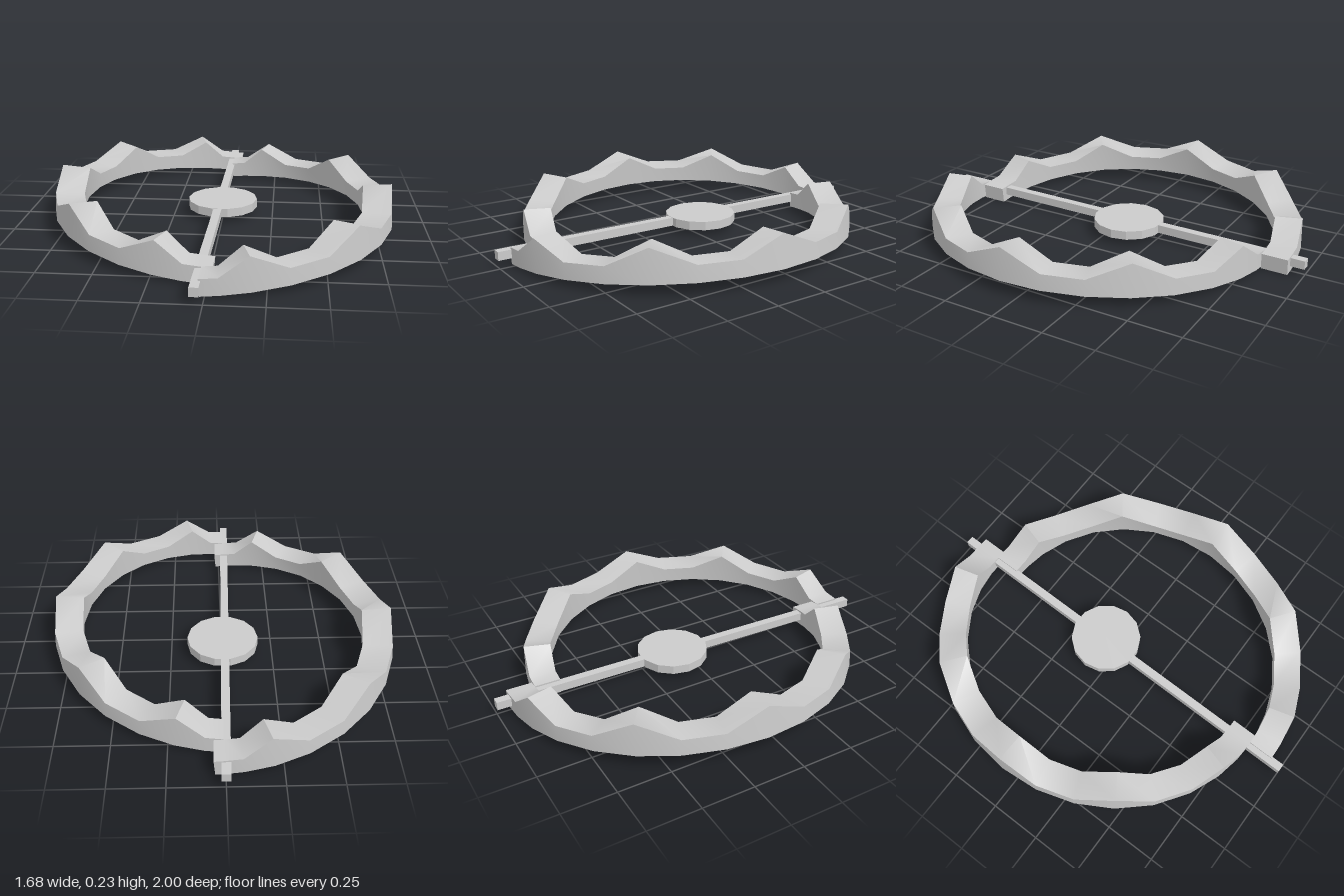
import * as THREE from 'three';
import { toCreasedNormals } from 'three/addons/utils/BufferGeometryUtils.js';

const LOW = 0.077, HIGH = 0.158; // height of the band, height of the teeth

// Angles (degrees) along half a jaw; the second half mirrors them
const HALF = [0, 5.5, 14.5, 25.8, 38.6, 51.4, 64.3, 77.1, 90];
const ANGLES = [...HALF, ...HALF.slice(0, -1).reverse().map(a => 180 - a)];
const TEETH = [2, 5, 8, 11, 14];

// Half-ring with a toothed upper edge, swept as a rectangular section
function jawGeometry({ side, cx, cz, outer, inner, extend }) {
  const sections = [];
  const addSection = (deg, height, shift) => {
    const a = THREE.MathUtils.degToRad(deg) + (side < 0 ? Math.PI : 0);
    const at = ([rx, rz], y) => [cx + shift + rx * Math.sin(a), y, cz + rz * Math.cos(a)];
    sections.push([at(outer, 0), at(outer, height), at(inner, height), at(inner, 0)]);
  };
  if (extend) addSection(0, LOW, -side * extend);
  ANGLES.forEach((deg, i) => addSection(deg, TEETH.includes(i) ? HIGH : LOW, 0));
  if (extend) addSection(180, LOW, -side * extend);

  const index = [];
  const n = sections.length;
  for (let i = 0; i < n - 1; i++) {
    for (let j = 0; j < 4; j++) {
      const a = i * 4 + j, b = i * 4 + (j + 1) % 4;
      index.push(a, a + 4, b, b, a + 4, b + 4);
    }
  }
  const e = (n - 1) * 4;
  index.push(0, 1, 2, 0, 2, 3, e, e + 2, e + 1, e, e + 3, e + 2);
  const g = new THREE.BufferGeometry();
  g.setAttribute('position', new THREE.Float32BufferAttribute(sections.flat(2), 3));
  g.setIndex(index);
  return toCreasedNormals(g, 0.9);
}

export function createModel() {
  const model = new THREE.Group();
  model.name = 'jawTrap';
  const material = new THREE.MeshStandardMaterial({ color: 0xcccccc });
  const add = (name, geometry, x, y, z) => {
    const mesh = new THREE.Mesh(geometry, material);
    mesh.name = name;
    mesh.position.set(x, y, z);
    model.add(mesh);
    return mesh;
  };

  // Whole trap is turned very slightly about the vertical
  model.rotation.y = -0.0175;
  model.position.x = -0.018;

  // Jaws, offset along the bar and tilted up at their outer sides
  const leftJaw = add('leftJaw', jawGeometry({
    side: 1, cx: 0.015, cz: 0.065, outer: [0.843, 0.872], inner: [0.705, 0.746], extend: 0,
  }), 0, 0.005, 0);
  leftJaw.rotation.z = 0.071;
  const rightJaw = add('rightJaw', jawGeometry({
    side: -1, cx: 0, cz: -0.06, outer: [0.83, 0.872], inner: [0.688, 0.746], extend: 0.047,
  }), 0, 0.005, 0);
  rightJaw.rotation.z = -0.088;

  // Central bar
  add('bar', new THREE.BoxGeometry(0.04, 0.041, 2), 0, 0.0545, 0);

  // Pressure plate
  const plate = new THREE.CylinderGeometry(0.175, 0.175, 0.043, 14);
  plate.rotateY(Math.PI / 14);
  add('pressurePlate', toCreasedNormals(plate, 0.3), 0.011, 0.0545, -0.083);

  const root = new THREE.Group();
  root.name = 'trap';
  root.add(model);
  return root;
}
